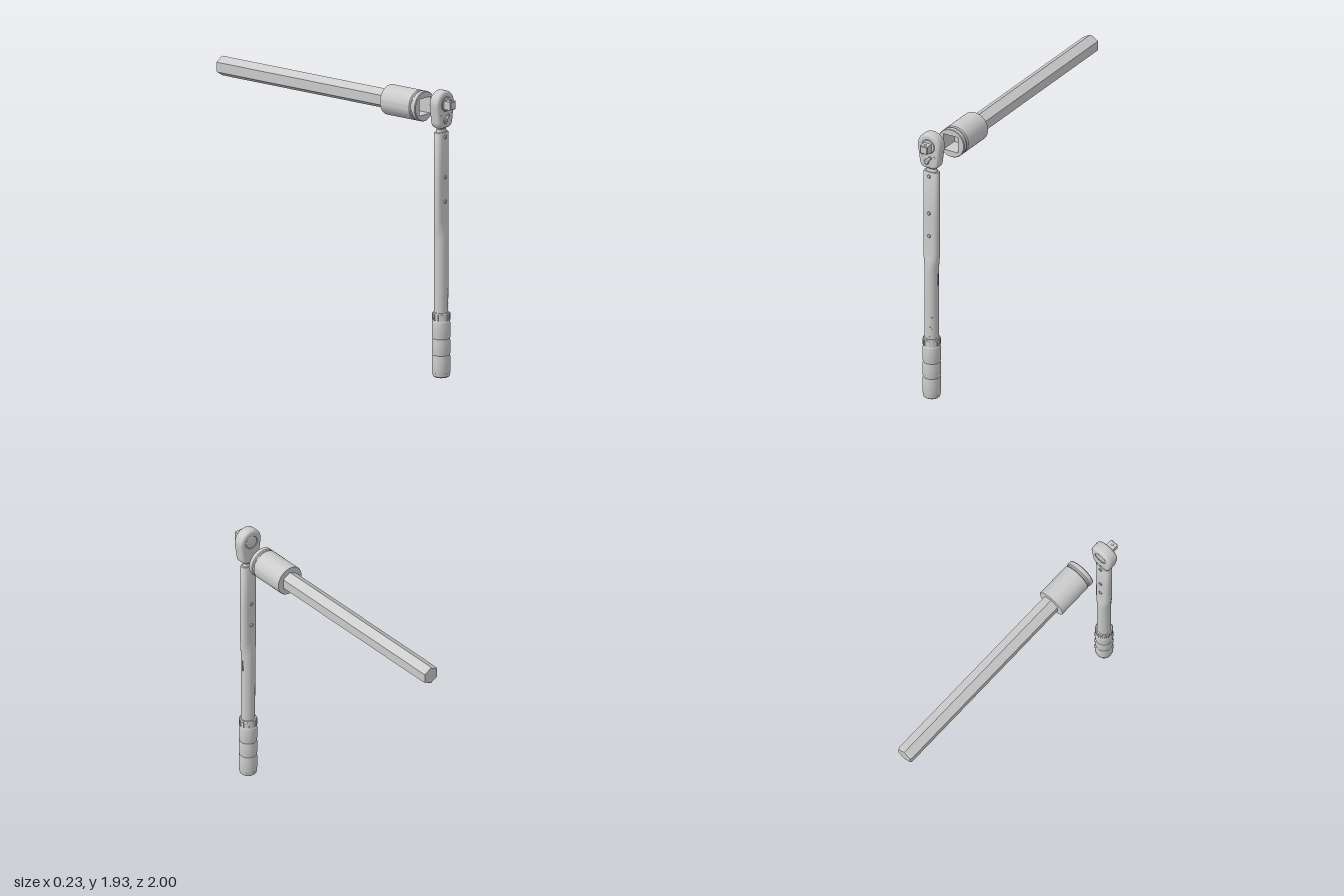
import * as THREE from 'three';
import { toCreasedNormals } from 'three/addons/utils/BufferGeometryUtils.js';

const WX = -0.03, WZ = 0.897;   // wrench axis
const SX = 0.01, SY = 1.785;    // socket and bar axis

const grey = (opts = {}) => new THREE.MeshStandardMaterial({ color: 0xcccccc, ...opts });

function part(parent, name, geo, x = 0, y = 0, z = 0, mat = grey()) {
  const m = new THREE.Mesh(geo, mat);
  m.name = name;
  m.position.set(x, y, z);
  parent.add(m);
  return m;
}

function lathe(pts, seg = 48, crease = 0.5) {
  const g = new THREE.LatheGeometry(pts.map(p => new THREE.Vector2(p[0], p[1])), seg);
  return toCreasedNormals(g, crease);
}

// Skin through superellipse sections [y, halfX, halfZ, exponent]
function loft(sections, n = 40) {
  const pos = [], idx = [];
  const pw = (v, e) => Math.sign(v) * Math.pow(Math.abs(v), 2 / e);
  sections.forEach(([y, rx, rz, e]) => {
    for (let i = 0; i < n; i++) {
      const a = (i / n) * Math.PI * 2;
      pos.push(rx * pw(Math.cos(a), e), y, rz * pw(Math.sin(a), e));
    }
  });
  for (let s = 0; s < sections.length - 1; s++) {
    for (let i = 0; i < n; i++) {
      const p = s * n + i, q = s * n + (i + 1) % n;
      idx.push(p, p + n, q, q, p + n, q + n);
    }
  }
  const g = new THREE.BufferGeometry();
  g.setAttribute('position', new THREE.Float32BufferAttribute(pos, 3));
  g.setIndex(idx);
  return toCreasedNormals(g, 0.6);
}

// Short round stud along z, domed on its outer end
function stud(r, h) {
  const g = lathe([[r, 0], [r, h * 0.6], [r * 0.75, h], [0.0001, h]], 20);
  return g.rotateX(Math.PI / 2);
}

function buildGrip(w) {
  const grip = new THREE.Group();
  grip.name = 'grip';
  w.add(grip);
  // Bulging segments with narrow waists
  const pts = [[0.0001, 0.004], [0.018, 0.004], [0.02, 0], [0.045, 0], [0.055, 0.008], [0.059, 0.03]];
  const bands = [[0.03, 0.147], [0.153, 0.257], [0.263, 0.375]];
  for (const [a, b] of bands) {
    for (let i = 0; i <= 6; i++) {
      const t = i / 6;
      pts.push([0.0585 + 0.003 * Math.sin(Math.PI * t), a + (b - a) * t]);
    }
    pts.push([0.0565, b + 0.003]);
  }
  pts.push([0.055, 0.385], [0.057, 0.43], [0.054, 0.436], [0.04, 0.436]);
  part(grip, 'gripBody', lathe(pts));
  // Ribs on the adjusting collar
  for (let i = 0; i < 14; i++) {
    const a = (i / 14) * Math.PI * 2;
    const rib = part(grip, 'collarRib', new THREE.BoxGeometry(0.014, 0.042, 0.006),
      Math.sin(a) * 0.0565, 0.407, Math.cos(a) * 0.0565);
    rib.rotation.y = a;
  }
}

function buildShaft(w) {
  // Round lower tube that flattens into the wide upper body
  part(w, 'shaft', loft([
    [0.42, 0.047, 0.045, 2], [0.85, 0.047, 0.046, 2], [0.94, 0.048, 0.047, 2],
    [0.98, 0.051, 0.044, 2.1], [1.02, 0.055, 0.038, 2.4], [1.06, 0.057, 0.034, 2.7],
    [1.3, 0.057, 0.033, 2.8], [1.642, 0.057, 0.033, 2.8], [1.65, 0.053, 0.03, 2.8],
    [1.65, 0.001, 0.001, 2.8],
  ]));
  // Pins through the upper body, showing front and back
  for (const y of [1.62, 1.35, 1.185]) {
    for (const s of [1, -1]) {
      const pin = part(w, 'pin', stud(0.0125, 0.012), 0, y, s * 0.03);
      if (s < 0) pin.rotation.y = Math.PI;
    }
  }
  // Catch on the +x side of the lower tube
  part(w, 'sideCatch', new THREE.CapsuleGeometry(0.006, 0.075, 4, 12), 0.045, 0.865, 0);
  // Raised scale marks beside the collar
  const scale = new THREE.Group();
  scale.name = 'scaleMarks';
  scale.rotation.y = 0.45;
  w.add(scale);
  for (let i = 0; i < 11; i++) {
    const len = i % 5 === 0 ? 0.024 : 0.015;
    part(scale, 'scaleMark', new THREE.BoxGeometry(len, 0.003, 0.004), 0, 0.455 + i * 0.014, 0.0445);
  }
}

function buildHead(w) {
  const head = new THREE.Group();
  head.name = 'ratchetHead';
  w.add(head);
  const cy = 1.843, bev = 0.02, R = 0.087 - bev;

  // Pear-shaped housing with rounded edges
  const s = new THREE.Shape();
  s.moveTo(-0.03, 1.70);
  s.lineTo(0.03, 1.70);
  s.quadraticCurveTo(0.05, 1.702, 0.052, 1.73);
  s.lineTo(R, cy - 0.01);
  s.absarc(0, cy, R, 0, Math.PI, false);
  s.lineTo(-R, cy - 0.01);
  s.lineTo(-0.052, 1.73);
  s.quadraticCurveTo(-0.05, 1.702, -0.03, 1.70);
  const housing = new THREE.ExtrudeGeometry(s, {
    depth: 0.04, bevelEnabled: true, bevelSize: bev, bevelThickness: bev, bevelSegments: 5, curveSegments: 28,
  }).translate(0, 0, -0.02);
  part(head, 'housing', toCreasedNormals(housing, 0.6), 0, 0, 0.004);

  // Neck flaring into the shaft and the housing
  part(head, 'neck', loft([
    [1.64, 0.043, 0.025, 2.4], [1.662, 0.04, 0.023, 2.4], [1.672, 0.036, 0.021, 2.4],
    [1.685, 0.046, 0.028, 2.4], [1.71, 0.056, 0.032, 2.4],
  ]));

  // Square drive with its collar and detent ball
  const collar = lathe([[0.05, 0], [0.05, 0.004], [0.046, 0.008], [0.0001, 0.008]], 40);
  part(head, 'driveCollar', collar.rotateX(Math.PI / 2), 0, cy, 0.04);
  const sq = 0.023;
  const sqShape = new THREE.Shape([[-sq, -sq], [sq, -sq], [sq, sq], [-sq, sq]].map(p => new THREE.Vector2(...p)));
  const drive = new THREE.ExtrudeGeometry(sqShape, {
    depth: 0.06, bevelEnabled: true, bevelSize: 0.005, bevelThickness: 0.004, bevelSegments: 1,
  });
  part(head, 'squareDrive', drive, 0, cy - 0.003, 0.039);
  part(head, 'detentBall', new THREE.SphereGeometry(0.009, 16, 10), 0, cy + 0.022, 0.08);

  // Round cover on the rear face
  const cover = lathe([[0.052, 0], [0.052, 0.003], [0.046, 0.005], [0.043, 0.002], [0.0001, 0.004]], 40);
  part(head, 'rearCover', cover.rotateX(-Math.PI / 2), 0, cy, -0.034);

  // Cover screws and reversing lever on the front
  for (const x of [-0.048, 0.048]) {
    part(head, 'screw', stud(0.015, 0.006), x, 1.773, 0.04);
    part(head, 'screwSocket', new THREE.CylinderGeometry(0.007, 0.007, 0.004, 6).rotateX(Math.PI / 2), x, 1.773, 0.0465);
  }
  part(head, 'leverPivot', stud(0.019, 0.01), -0.012, 1.73, 0.042);
  const arm = part(head, 'leverArm', new THREE.CapsuleGeometry(0.009, 0.035, 4, 12), 0.003, 1.748, 0.046);
  arm.rotation.z = -0.7;
  part(head, 'leverTip', stud(0.012, 0.01), 0.016, 1.762, 0.042);
}

function buildSocket(root) {
  const socket = new THREE.Group();
  socket.name = 'socketAndBar';
  socket.position.set(SX, SY, 0);
  root.add(socket);

  // Round body with a retaining groove, open towards the front
  const body = lathe([
    [0.0001, 0.427], [0.099, 0.427], [0.101, 0.43], [0.101, 0.672], [0.098, 0.676],
    [0.094, 0.679], [0.094, 0.688], [0.098, 0.691], [0.101, 0.694], [0.101, 0.72], [0.097, 0.725],
  ], 64);
  part(socket, 'socketBody', body.rotateX(Math.PI / 2));

  // Front face and recess for the square drive
  const h = 0.056, depth = 0.13;
  const face = new THREE.Shape().absarc(0, 0, 0.097, 0, Math.PI * 2, false);
  face.holes.push(new THREE.Path([[-h, -h], [-h, h], [h, h], [h, -h]].map(p => new THREE.Vector2(...p))));
  part(socket, 'socketFace', new THREE.ShapeGeometry(face, 32), 0, 0, 0.725);
  const walls = new THREE.CylinderGeometry(h * Math.SQRT2, h * Math.SQRT2, depth, 4, 1, true)
    .rotateY(Math.PI / 4).rotateX(Math.PI / 2);
  part(socket, 'recessWalls', walls, 0, 0, 0.725 - depth / 2, grey({ side: THREE.BackSide, flatShading: true }));
  part(socket, 'recessFloor', new THREE.PlaneGeometry(2 * h, 2 * h), 0, 0, 0.725 - depth);

  // Hexagonal bar with a chamfered far end
  const bar = new THREE.LatheGeometry(
    [[0.0001, -1], [0.059, -1], [0.066, -0.988], [0.066, 0.43]].map(p => new THREE.Vector2(...p)), 6);
  part(socket, 'hexBar', bar.rotateX(Math.PI / 2), 0, 0, 0, grey({ flatShading: true }));
}

export function createModel() {
  const root = new THREE.Group();
  root.name = 'torqueWrenchAndSocket';
  const wrench = new THREE.Group();
  wrench.name = 'torqueWrench';
  wrench.position.set(WX, 0, WZ);
  root.add(wrench);
  buildGrip(wrench);
  buildShaft(wrench);
  buildHead(wrench);
  buildSocket(root);
  return root;
}
